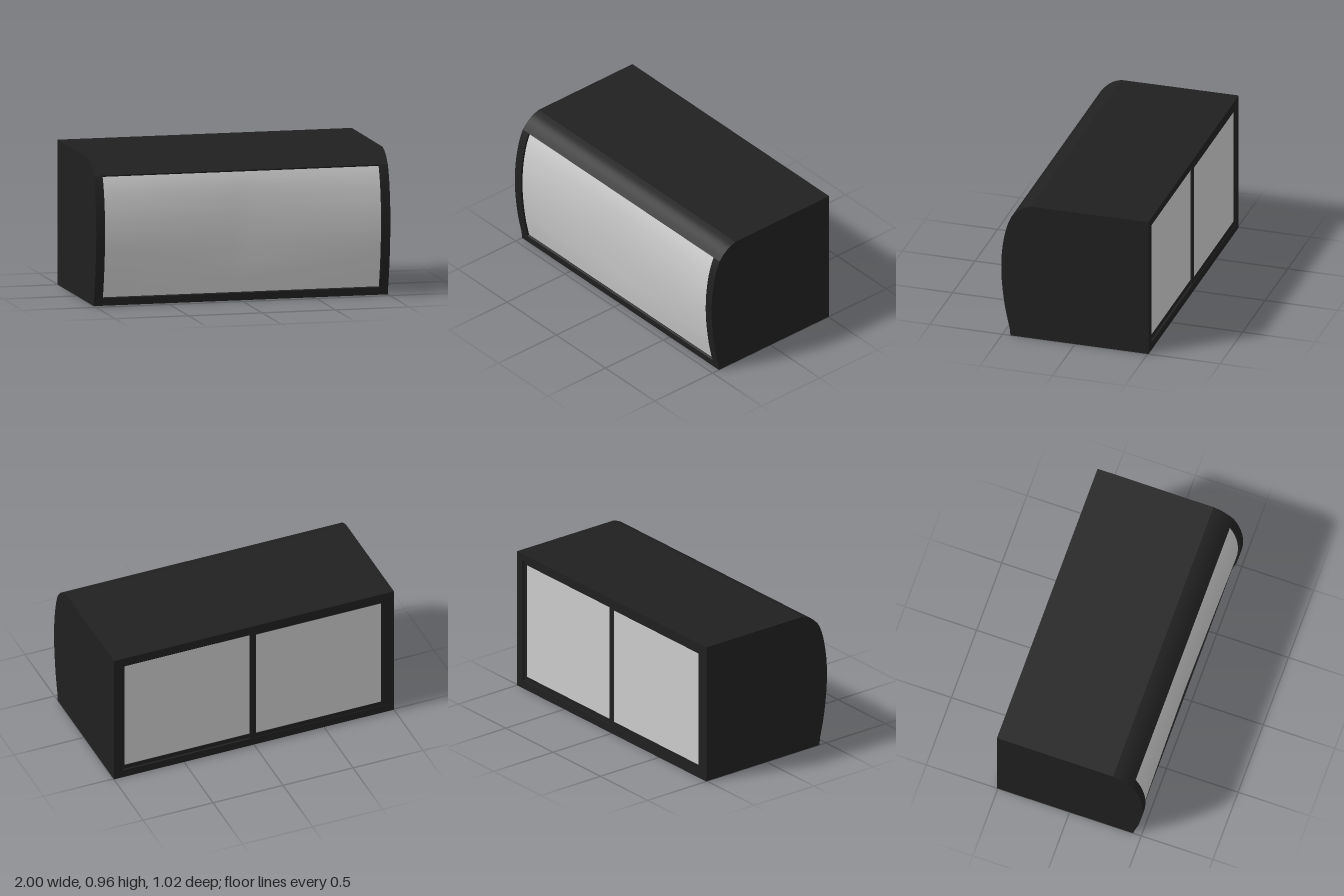
import * as THREE from 'three';
import { toCreasedNormals } from 'three/addons/utils/BufferGeometryUtils.js';

const HEIGHT = 0.965, BACK = -0.507, WALL = 0.06, INNER = 1 - WALL;
const V = (z, y) => new THREE.Vector2(z, y);

// Bowed front edge and rounded shoulder of the side profile, as (z, y)
const bow = new THREE.SplineCurve([
  V(0.45, 0.05), V(0.48, 0.19), V(0.5, 0.34), V(0.508, 0.47),
  V(0.504, 0.6), V(0.487, 0.72), V(0.465, 0.805), V(0.44, 0.866),
]).getPoints(28);
const shoulder = new THREE.SplineCurve([
  V(0.44, 0.866), V(0.4, 0.91), V(0.355, 0.943), V(0.303, 0.962),
]).getPoints(12);

// Depth of the bowed front at height y
function frontZ(y) {
  const i = Math.min(Math.max(bow.findIndex((p) => p.y >= y), 1), bow.length - 1);
  const a = bow[i - 1], b = bow[i];
  return a.x + ((b.x - a.x) * (y - a.y)) / (b.y - a.y);
}

// Sweep a (z, y) outline along x, centred on x = 0
function sweep(points, width) {
  const geo = new THREE.ExtrudeGeometry(new THREE.Shape(points), { depth: width, bevelEnabled: false });
  geo.translate(0, 0, -width / 2).rotateY(-Math.PI / 2);
  return toCreasedNormals(geo, 0.3);
}

export function createModel() {
  const model = new THREE.Group();
  const dark = new THREE.MeshStandardMaterial({ color: 0x202020 });
  const grey = new THREE.MeshStandardMaterial({ color: 0xcccccc, side: THREE.DoubleSide });

  function add(parent, name, geo, material, x = 0, y = 0, z = 0) {
    const mesh = new THREE.Mesh(geo, material);
    mesh.name = name;
    mesh.position.set(x, y, z);
    parent.add(mesh);
    return mesh;
  }

  // Side walls with the full profile
  const sideOutline = [V(BACK, 0), V(0.445, 0), ...bow, ...shoulder.slice(1), V(BACK, HEIGHT)];
  const sideGeo = sweep(sideOutline, WALL);
  add(model, 'leftWall', sideGeo, dark, 1 - WALL / 2);
  add(model, 'rightWall', sideGeo, dark, -1 + WALL / 2);

  // Roof with its rounded front header, and the floor
  const roofOutline = [V(BACK, 0.92), V(0.34, 0.92), V(0.39, 0.855), V(0.428, 0.855), ...shoulder, V(BACK, HEIGHT)];
  add(model, 'roof', sweep(roofOutline, INNER * 2), dark);
  const floorOutline = [V(BACK, 0), V(0.445, 0), V(0.45, 0.05), V(0.44, 0.055), V(BACK, 0.055)];
  add(model, 'floor', sweep(floorOutline, INNER * 2), dark);

  // Front pane: follows the bowed profile, set back a little more mid-width
  const bottom = 0.05, top = 0.866;
  const pane = new THREE.PlaneGeometry(INNER * 2, top - bottom, 24, 28);
  pane.translate(0, (top + bottom) / 2, 0);
  const pos = pane.attributes.position;
  for (let i = 0; i < pos.count; i++) {
    const y = pos.getY(i);
    const rise = Math.sin((Math.PI * (y - bottom)) / (top - bottom));
    const dip = 0.022 * rise * (1 - Math.abs(pos.getX(i)) / INNER);
    pos.setZ(i, frontZ(y) - 0.015 - dip);
  }
  pane.computeVertexNormals();
  add(model, 'frontPane', pane, grey);

  // Two sliding back doors on separate tracks
  function addDoor(name, outer, glass, z) {
    const door = new THREE.Group();
    door.name = name;
    door.position.z = z;
    const rect = ([x0, x1, y0, y1]) => [V(x0, y0), V(x1, y0), V(x1, y1), V(x0, y1)];
    const shape = new THREE.Shape(rect(outer));
    shape.holes.push(new THREE.Path(rect(glass)));
    const frame = new THREE.ExtrudeGeometry(shape, { depth: 0.008, bevelEnabled: false });
    add(door, name + 'Frame', frame, dark);
    const [x0, x1, y0, y1] = glass;
    const sheet = new THREE.BoxGeometry(x1 - x0, y1 - y0, 0.004);
    add(door, name + 'Pane', sheet, grey, (x0 + x1) / 2, (y0 + y1) / 2, 0.005);
    model.add(door);
  }
  addDoor('outerDoor', [-INNER, 0.028, 0.055, 0.92], [-0.91, -0.018, 0.087, 0.89], -0.503);
  addDoor('innerDoor', [-0.018, INNER, 0.055, 0.92], [0.0, 0.918, 0.085, 0.89], -0.493);

  return model;
}
